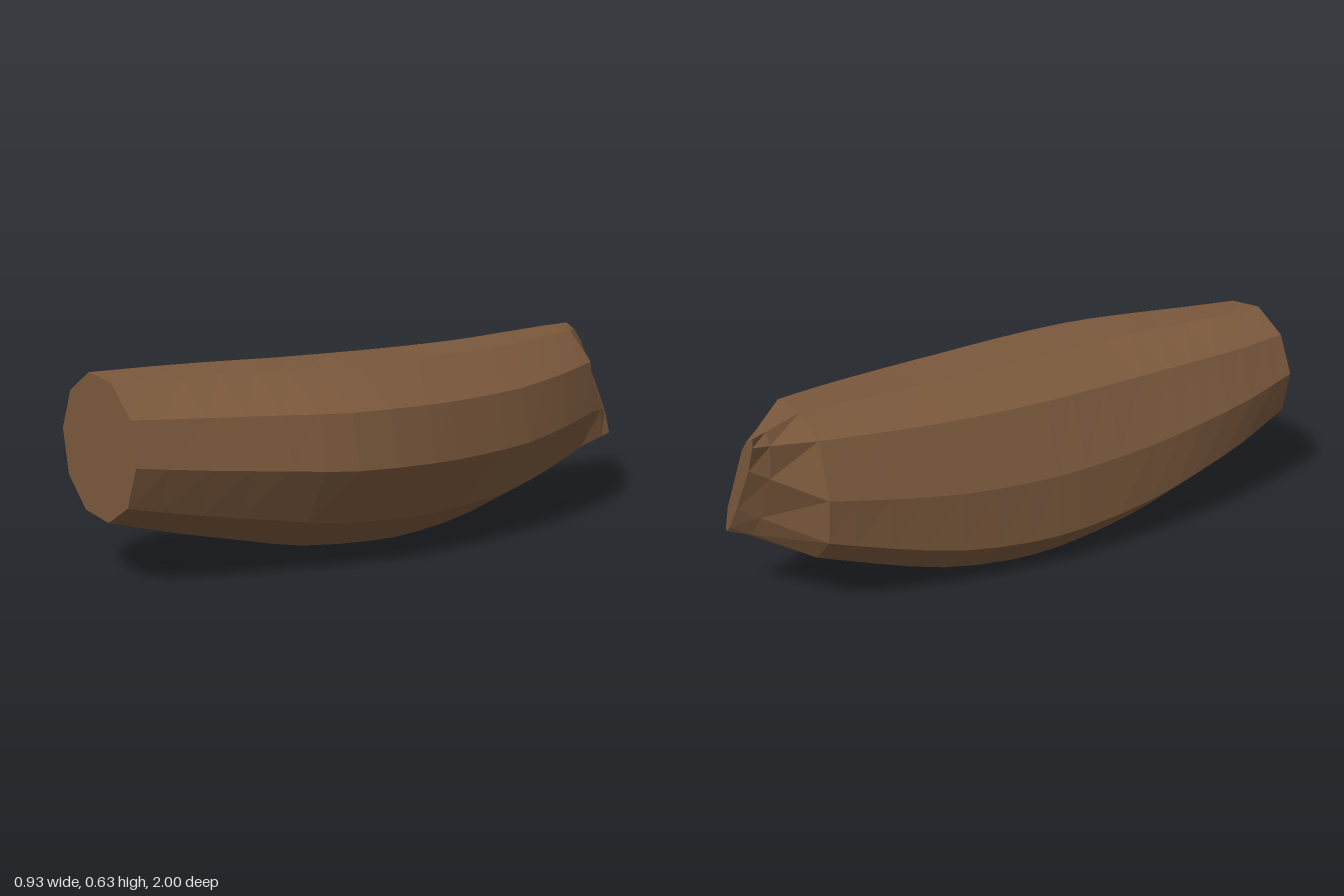
import * as THREE from 'three';

// ten-sided cross-sections as fractions of width and height, clockwise from the top
const FRONT = [[0.4, 1], [0.7, 0.97], [0.945, 0.76], [1, 0.45], [0.873, 0.153],
  [0.61, 0], [0.297, 0.027], [0.065, 0.233], [0, 0.553], [0.13, 0.84]];
const MIDDLE = [[0.4, 1], [0.72, 1], [0.95, 0.81], [1, 0.52], [0.86, 0.21],
  [0.57, 0.005], [0.18, 0], [0.01, 0.18], [0.01, 0.52], [0.12, 0.89]];
const BACK = [[0.38, 1], [0.7, 1], [0.945, 0.78], [1, 0.38], [0.87, 0.09],
  [0.55, 0], [0.25, 0.03], [0.05, 0.2], [0, 0.5], [0.13, 0.88]];

// stations along the body: [position, left, right, bottom, top]
const STATIONS = [
  [1.008, -0.468, -0.035, 0.198, 0.635], [0.79, -0.455, 0.09, 0.137, 0.632],
  [0.56, -0.417, 0.222, 0.083, 0.628], [0.345, -0.37, 0.328, 0.036, 0.622],
  [0.06, -0.299, 0.402, 0.006, 0.615], [-0.15, -0.237, 0.435, 0.005, 0.611],
  [-0.4, -0.154, 0.463, 0.035, 0.61], [-0.64, -0.067, 0.46, 0.1, 0.615],
  [-0.84, 0.015, 0.438, 0.162, 0.619]];

// narrow slanted outline of the pinched end
const TIP = [[0.15, 0.605], [0.19, 0.585], [0.225, 0.545], [0.35, 0.315], [0.375, 0.235],
  [0.365, 0.23], [0.345, 0.25], [0.29, 0.33], [0.19, 0.49], [0.155, 0.575]];

const mix = THREE.MathUtils.lerp;
// every section lies in a vertical plane turned slightly about y
const place = (x, y, c) => new THREE.Vector3(x, y, c + 0.267 * x);

// adds a smooth in-between station after each one
function refine(rows) {
  const at = i => rows[THREE.MathUtils.clamp(i, 0, rows.length - 1)];
  return rows.flatMap((row, i) => {
    if (i === rows.length - 1) return [row];
    return [row, row.map((v, j) => (9 * (v + at(i + 1)[j]) - at(i - 1)[j] - at(i + 2)[j]) / 16)];
  });
}

function bodyRings() {
  const rings = refine(STATIONS).map(([c, left, right, bottom, top]) => {
    const w = Math.max(0, 1 - c * c);
    return (c > 0 ? FRONT : BACK).map(([u, v], k) => place(
      mix(left, right, mix(u, MIDDLE[k][0], w)),
      mix(bottom, top, mix(v, MIDDLE[k][1], w)), c));
  });
  const last = rings[rings.length - 1];
  // pinch the last full section into the tip
  rings.push(TIP.map(([x, y], k) => place(mix(last[k].x, x, 0.76), mix(last[k].y, y, 0.72), -0.985)));
  rings.push(TIP.map(([x, y]) => place(x, y, -1.04)));
  return rings;
}

function capTriangles(ring, front) {
  const centre = ring.reduce((s, p) => s.add(p), new THREE.Vector3()).divideScalar(ring.length);
  return ring.flatMap((p, k) => {
    const q = ring[(k + 1) % ring.length];
    return front ? [centre, q, p] : [centre, p, q];
  });
}

export function createModel() {
  const group = new THREE.Group();
  group.name = 'curvedPod';
  const material = new THREE.MeshStandardMaterial({ color: 0x7a583c, flatShading: true });
  const add = (name, triangles) => {
    const geometry = new THREE.BufferGeometry().setFromPoints(triangles);
    geometry.computeVertexNormals();
    const mesh = new THREE.Mesh(geometry, material);
    mesh.name = name;
    group.add(mesh);
  };

  // faceted skin between neighbouring sections
  const rings = bodyRings();
  const skin = [];
  for (let i = 0; i < rings.length - 1; i++) {
    for (let k = 0; k < 10; k++) {
      const n = (k + 1) % 10;
      const a = rings[i][k], b = rings[i][n], d = rings[i + 1][k], e = rings[i + 1][n];
      skin.push(a, b, d, b, e, d);
    }
  }
  add('body', skin);

  // flat cut face and pinched end
  add('cutEnd', capTriangles(rings[0], true));
  add('pinchedEnd', capTriangles(rings[rings.length - 1], false));
  return group;
}
